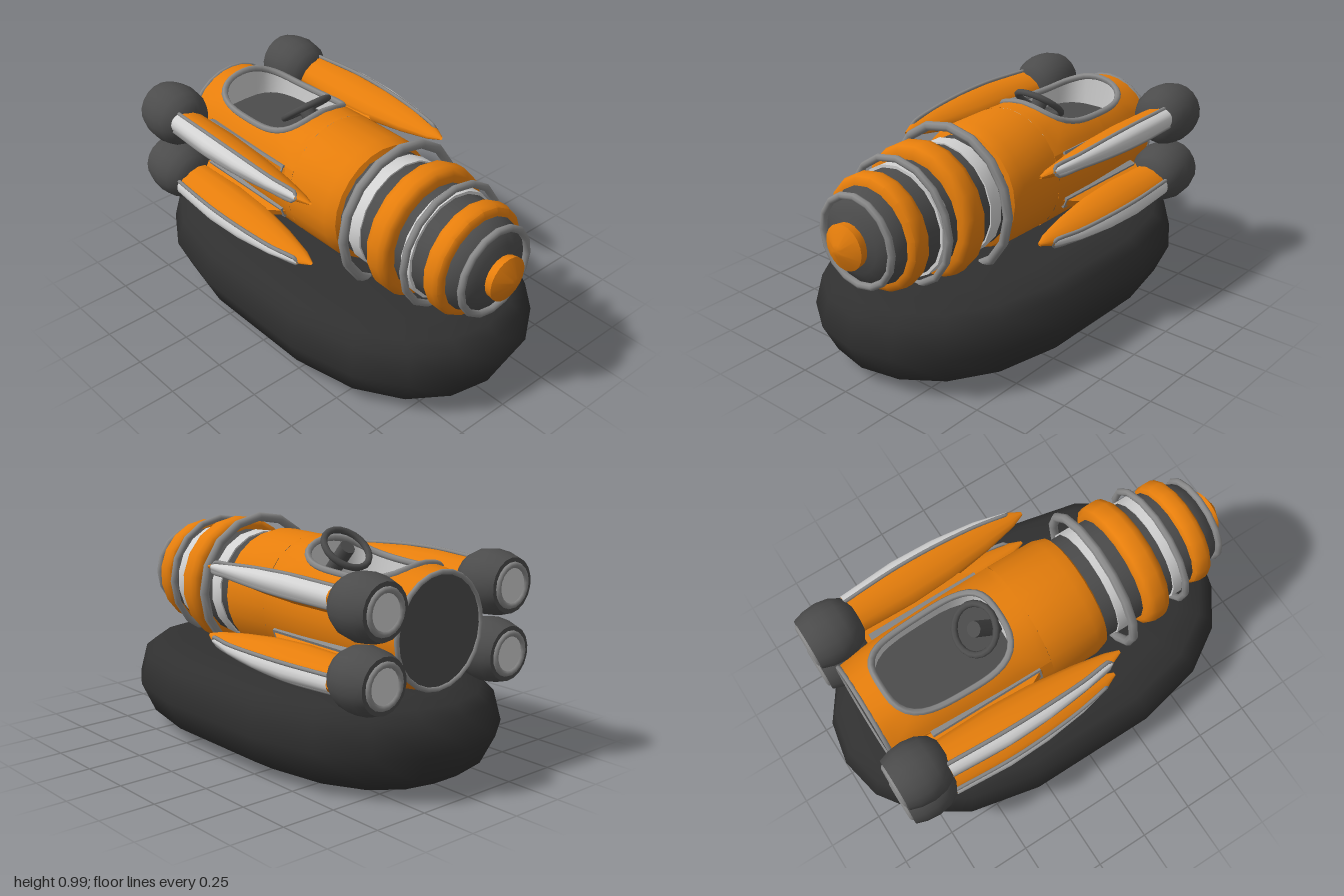
import * as THREE from 'three';
import { toCreasedNormals } from 'three/addons/utils/BufferGeometryUtils.js';

const AXIS_Y = 0.65;
const mat = (name, color) => Object.assign(
  new THREE.MeshStandardMaterial({ color, side: THREE.DoubleSide }), { name });

export function createModel() {
  const orange = mat('orange', 0xe67e0c);
  const dark = mat('darkGrey', 0x4c4c4c);
  const grey = mat('midGrey', 0x8a8a8a);
  const light = mat('lightGrey', 0xd2d2d2);
  const rubber = mat('rubberBlack', 0x303030);

  const root = new THREE.Group();
  const add = (parent, name, geo, material) => {
    const m = new THREE.Mesh(geo, material);
    m.name = name;
    parent.add(m);
    return m;
  };

  // Surface through fn(u, v) -> [x, y, z], with u and v as integer steps
  const grid = (fn, nu, nv) => {
    const pos = [], idx = [];
    for (let u = 0; u <= nu; u++) for (let v = 0; v <= nv; v++) pos.push(...fn(u, v));
    for (let u = 0; u < nu; u++) for (let v = 0; v < nv; v++) {
      const a = u * (nv + 1) + v, b = a + nv + 1;
      idx.push(a, b, a + 1, b, b + 1, a + 1);
    }
    const g = new THREE.BufferGeometry();
    g.setAttribute('position', new THREE.Float32BufferAttribute(pos, 3));
    g.setIndex(idx);
    g.computeVertexNormals();
    return g;
  };
  // Profile of [radius, z] pairs turned about the z axis
  const turn = (pts, sides = 18) => toCreasedNormals(new THREE.LatheGeometry(
    pts.map(([r, z]) => new THREE.Vector2(r, z)), sides).rotateX(Math.PI / 2), 0.7);
  const tube = (pts, r, closed) => new THREE.TubeGeometry(
    new THREE.CatmullRomCurve3(pts.map(p => new THREE.Vector3(...p)), closed), 48, r, 6, closed);

  // Inflated skirt: rounded slab with a stretched oval plan
  const skirt = [[0, 0, 0], [0.41, 0.8, 0], [0.53, 0.92, 0.07], [0.585, 0.985, 0.2],
    [0.555, 0.95, 0.33], [0.51, 0.9, 0.37], [0.4, 0.8, 0.4], [0, 0, 0.405]];
  add(root, 'skirt', toCreasedNormals(grid((u, v) => {
    const t = u / 18 * Math.PI * 2, c = Math.cos(t), [w, l, y] = skirt[v];
    return [Math.sin(t) * w, y, -0.015 + Math.sign(c) * Math.abs(c) ** 0.68 * l];
  }, 18, skirt.length - 1), 0.9), rubber);

  // Fuselage
  const body = new THREE.Group();
  body.name = 'fuselage';
  body.position.y = AXIS_Y;
  root.add(body);

  const profile = [[-0.82, 0.245], [-0.65, 0.27], [-0.3, 0.285], [-0.05, 0.288],
    [0.18, 0.287], [0.235, 0.27], [0.25, 0.24]];
  const radiusAt = z => {
    let i = 0;
    while (i < profile.length - 2 && z > profile[i + 1][0]) i++;
    const [z0, r0] = profile[i], [z1, r1] = profile[i + 1];
    return r0 + (r1 - r0) * (z - z0) / (z1 - z0);
  };
  const skin = (a, z) => [radiusAt(z) * Math.sin(a), radiusAt(z) * Math.cos(a), z];

  add(body, 'frontShell', turn(profile.slice(3).map(([z, r]) => [r, z]), 24), orange);
  const sideA = 1.1, midZ = -0.435;
  add(body, 'rearShell', grid((u, v) =>
    skin(sideA + u / 18 * (Math.PI * 2 - 2 * sideA), profile[v][0]), 18, 3), orange);

  // Top panel around the cockpit opening
  const pw = (n, e) => Math.sign(n) * Math.abs(n) ** e;
  const N = 32;
  const hole = u => {
    const t = u / N * Math.PI * 2;
    return [0.78 * pw(Math.cos(t), 0.65), midZ + 0.285 * pw(Math.sin(t), 0.65)];
  };
  add(body, 'cockpitSurround', grid((u, v) => {
    const t = u / N * Math.PI * 2, c = Math.cos(t), s = Math.sin(t);
    const k = 1 / Math.max(Math.abs(c), Math.abs(s)), f = v / 4, [a, z] = hole(u);
    return skin(a + (sideA * c * k - a) * f, z + (midZ + 0.385 * s * k - z) * f);
  }, N, 4), orange);

  // Cockpit tub
  const floorY = 0.11;
  add(body, 'cockpitWall', grid((u, v) => {
    const p = skin(...hole(u));
    return v ? [p[0] * 0.98, floorY, p[2]] : p;
  }, N, 1), light);
  add(body, 'cockpitFloor', grid((u, v) => {
    const p = skin(...hole(u));
    return [p[0] * 0.98 * v, floorY, midZ + (p[2] - midZ) * v];
  }, N, 1), dark);
  add(body, 'cockpitRim', tube(Array.from({ length: N }, (_, u) => skin(...hole(u))), 0.015, true), grey);

  // Steering wheel and column
  const wheel = new THREE.Group();
  wheel.name = 'steeringWheel';
  wheel.position.set(0, 0.255, -0.265);
  wheel.rotation.x = -2.27;
  body.add(wheel);
  add(wheel, 'wheelRim', new THREE.TorusGeometry(0.108, 0.015, 8, 20), dark);
  add(wheel, 'column', new THREE.CylinderGeometry(0.035, 0.035, 0.16, 12)
    .rotateX(Math.PI / 2).translate(0, 0, -0.07), dark);

  // Tail plate
  add(body, 'tailPlate', new THREE.CircleGeometry(0.24, 24).rotateY(Math.PI).translate(0, 0, -0.821), dark);
  add(body, 'tailRim', new THREE.TorusGeometry(0.241, 0.011, 6, 24).translate(0, 0, -0.82), grey);

  // Ribbed nose
  add(body, 'noseCore', turn([[0.25, 0.24], [0.25, 0.45], [0.242, 0.56], [0.23, 0.7],
    [0.212, 0.82], [0.185, 0.88], [0.13, 0.91], [0.06, 0.93]]), dark);
  add(body, 'noseCap', turn([[0.065, 0.9], [0.095, 0.925], [0.1, 0.96], [0.025, 0.997], [0, 1]], 20), orange);
  for (const [z, h, R, ri] of [[0.5, 0.062, 0.302, 0.24], [0.77, 0.05, 0.253, 0.2]])
    add(body, 'noseBand', turn([[ri, z - h], [R - 0.03, z - h], [R - 0.008, z - h * 0.75], [R, z - h * 0.35],
      [R, z + h * 0.35], [R - 0.008, z + h * 0.75], [R - 0.03, z + h], [ri, z + h]]), orange);
  for (const [z0, z1, r] of [[0.305, 0.37, 0.257], [0.605, 0.655, 0.247]])
    add(body, 'lightBand', turn([[r - 0.02, z0], [r, z0], [r, z1], [r - 0.02, z1]]), light);
  for (const [z, R, r] of [[0.34, 0.32, 0.021], [0.65, 0.276, 0.016], [0.89, 0.194, 0.016]])
    add(body, 'noseRing', new THREE.TorusGeometry(R, r, 8, 16).translate(0, 0, z), grey);

  // Four thruster arms, each built along local +x and turned about the body axis
  const fin = [[0.21, 0.413, 0.008, 0.006], [0.15, 0.415, 0.035, 0.019], [0, 0.415, 0.068, 0.036],
    [-0.2, 0.411, 0.094, 0.052], [-0.4, 0.408, 0.102, 0.06], [-0.66, 0.402, 0.09, 0.058]];
  const finPoint = (i, t, k = 1) => {
    const [z, cx, hx, hy] = fin[i];
    return [cx + Math.cos(t) * hx * k, Math.sin(t) * hy * k, z];
  };
  const edge = 0.8;
  const finGeo = grid((u, v) => finPoint(v, u / 12 * Math.PI * 2), 12, 5);
  const panelGeo = grid((u, v) => finPoint(v + 1, edge * (u / 3 - 1), 1.05), 6, 4);
  const trimGeo = tube([5, 4, 3, 2, 1].map(i => finPoint(i, edge, 1.04))
    .concat([1, 2, 3, 4, 5].map(i => finPoint(i, -edge, 1.04))), 0.009, false);
  const strutGeo = new THREE.ExtrudeGeometry(new THREE.Shape(
    [[0.24, -0.66], [0.37, -0.66], [0.37, -0.24], [0.285, -0.1], [0.24, -0.1]]
      .map(p => new THREE.Vector2(...p))), { depth: 0.03, bevelEnabled: false })
    .rotateX(Math.PI / 2).translate(0, 0.015, 0);
  const podGeo = turn([[0.08, -0.88], [0.118, -0.88], [0.134, -0.83], [0.14, -0.77],
    [0.13, -0.71], [0.105, -0.665], [0.07, -0.642], [0, -0.635]]);
  const podX = 0.388;

  for (const angle of [0.383, -0.383, Math.PI - 0.383, Math.PI + 0.383]) {
    const arm = new THREE.Group();
    arm.name = 'thrusterArm';
    arm.rotation.z = angle;
    body.add(arm);
    add(arm, 'fin', finGeo, orange);
    add(arm, 'finPanel', panelGeo, light);
    add(arm, 'finTrim', trimGeo, grey);
    add(arm, 'strut', strutGeo, orange);
    add(arm, 'strutBase', new THREE.BoxGeometry(0.028, 0.055, 0.53).translate(0.283, 0, -0.375), grey);
    add(arm, 'thruster', podGeo, dark).position.x = podX;
    add(arm, 'nozzleRing', new THREE.TorusGeometry(0.086, 0.014, 8, 18), grey).position.set(podX, 0, -0.878);
    add(arm, 'nozzleGlow', new THREE.CircleGeometry(0.08, 18).rotateY(Math.PI), light)
      .position.set(podX, 0, -0.882);
  }
  return root;
}
